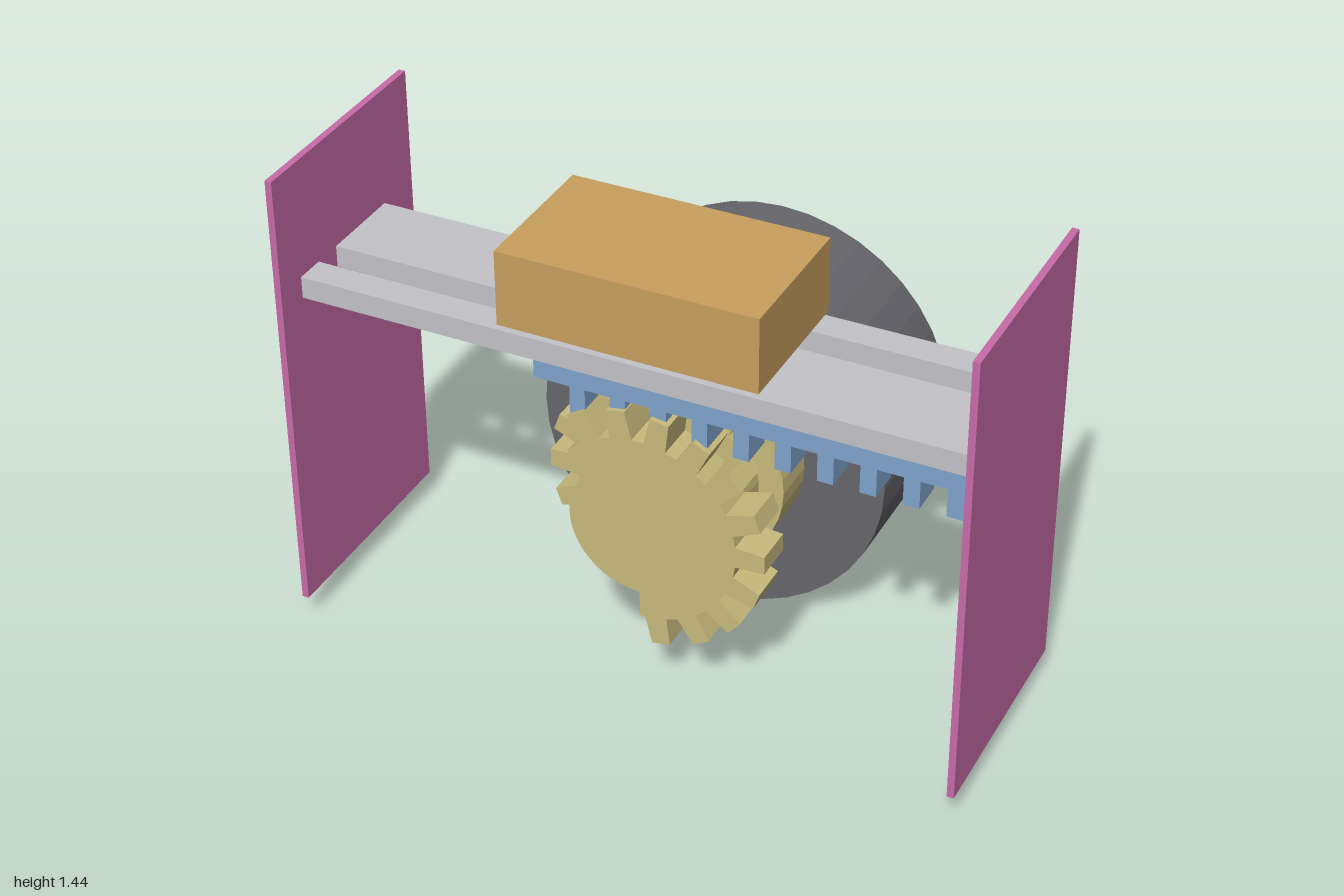
import * as THREE from 'three';

const mat = (name, color) => Object.assign(new THREE.MeshStandardMaterial({ color }), { name });

export function createModel() {
  const model = new THREE.Group();
  model.name = 'rackMechanism';
  const pink = mat('pink', 0xc86ba9), grey = mat('light grey', 0xc4c3c8), dark = mat('dark grey', 0x66656b);
  const gold = mat('gold', 0xc9bb7d), orange = mat('orange', 0xc9a05e);
  const green = mat('green', 0x86c598), blue = mat('blue', 0x80a4cb);

  const axisY = 0.528, midZ = 0.22;

  function add(parent, name, geo, material, x = 0, y = 0, z = 0) {
    const mesh = new THREE.Mesh(geo, material);
    mesh.name = name;
    mesh.position.set(x, y, z);
    parent.add(mesh);
    return mesh;
  }
  const box = (parent, name, m, x0, x1, y0, y1, z0, z1) =>
    add(parent, name, new THREE.BoxGeometry(x1 - x0, y1 - y0, z1 - z0), m,
      (x0 + x1) / 2, (y0 + y1) / 2, (z0 + z1) / 2);
  // faceted drum lying along z
  function drum(name, m, r, z0, z1) {
    const g = new THREE.CylinderGeometry(r, r, z1 - z0, 40).rotateX(Math.PI / 2).toNonIndexed();
    g.computeVertexNormals();
    add(model, name, g, m, 0, axisY, (z0 + z1) / 2);
  }
  const polygon = pts => new THREE.Shape(pts.map(p => new THREE.Vector2(p[0], p[1])));
  const extrude = (pts, depth) => new THREE.ExtrudeGeometry(polygon(pts), { depth, bevelEnabled: false });

  // end walls
  for (const s of [-1, 1]) box(model, 'endWall', pink, s * 0.99 - 0.01, s * 0.99 + 0.01, 0.08, 1.445, -0.15, 0.54);

  // motor and shaft drums
  drum('motor', dark, 0.527, -0.54, -0.08);
  drum('hub', gold, 0.285, -0.08, 0.06);
  drum('gearSpacer', gold, 0.21, 0.18, 0.26);

  // guide plate with one open slot from each end
  const plate = [
    [-0.98, 0], [0.98, 0], [0.98, 0.09], [-0.05, 0.09], [-0.05, 0.18], [0.98, 0.18],
    [0.98, 0.44], [-0.98, 0.44], [-0.98, 0.35], [0.05, 0.35], [0.05, 0.26], [-0.98, 0.26],
  ];
  add(model, 'guidePlate', extrude(plate, 0.065).rotateX(Math.PI / 2), grey, 0, 1.1, 0);

  // sliding carriage
  box(model, 'carriage', orange, -0.378, 0.378, 1.115, 1.34, 0, 0.44);

  // gear outline: eleven teeth, the rest cut back to a smaller radius
  const gearPts = [];
  const polar = (deg, r) => {
    const a = THREE.MathUtils.degToRad(deg);
    gearPts.push([r * Math.cos(a), r * Math.sin(a)]);
  };
  polar(-90, 0.21);
  polar(-90, 0.29);
  for (let a = -80; a <= 120; a += 20) {
    polar(a - 6.5, 0.29);
    polar(a - 4.2, 0.375);
    polar(a + 4.2, 0.375);
    polar(a + 6.5, 0.29);
  }
  polar(137, 0.29);
  for (let a = 142; a < 270; a += 8) polar(a, 0.21);

  // gear, rack and pin; the rear set is the front one turned half round
  function driveSet(name, rackColor, turn) {
    const set = new THREE.Group();
    set.name = name;
    set.position.z = midZ;
    set.rotation.y = turn;
    add(set, 'partGear', extrude(gearPts, 0.12), gold, 0, axisY, 0.04);

    // rack outline with downward teeth
    const pts = [[0.95, 1.025], [-0.315, 1.025], [-0.315, 0.925]];
    for (let i = 9; i >= 0; i--) {
      const x = 0.895 - i * 0.12;
      pts.push([x - 0.023, 0.925], [x - 0.023, 0.84], [x + 0.023, 0.84], [x + 0.023, 0.925]);
    }
    pts.push([0.95, 0.925]);
    add(set, 'rack', extrude(pts, 0.1), rackColor, 0, 0, 0.045);

    // pin joining rack and carriage through the slot
    add(set, 'pin', new THREE.CylinderGeometry(0.035, 0.035, 0.1, 20), dark, 0, 1.07, 0.085);
    model.add(set);
  }
  driveSet('frontDrive', blue, 0);
  driveSet('rearDrive', green, Math.PI);

  return model;
}
